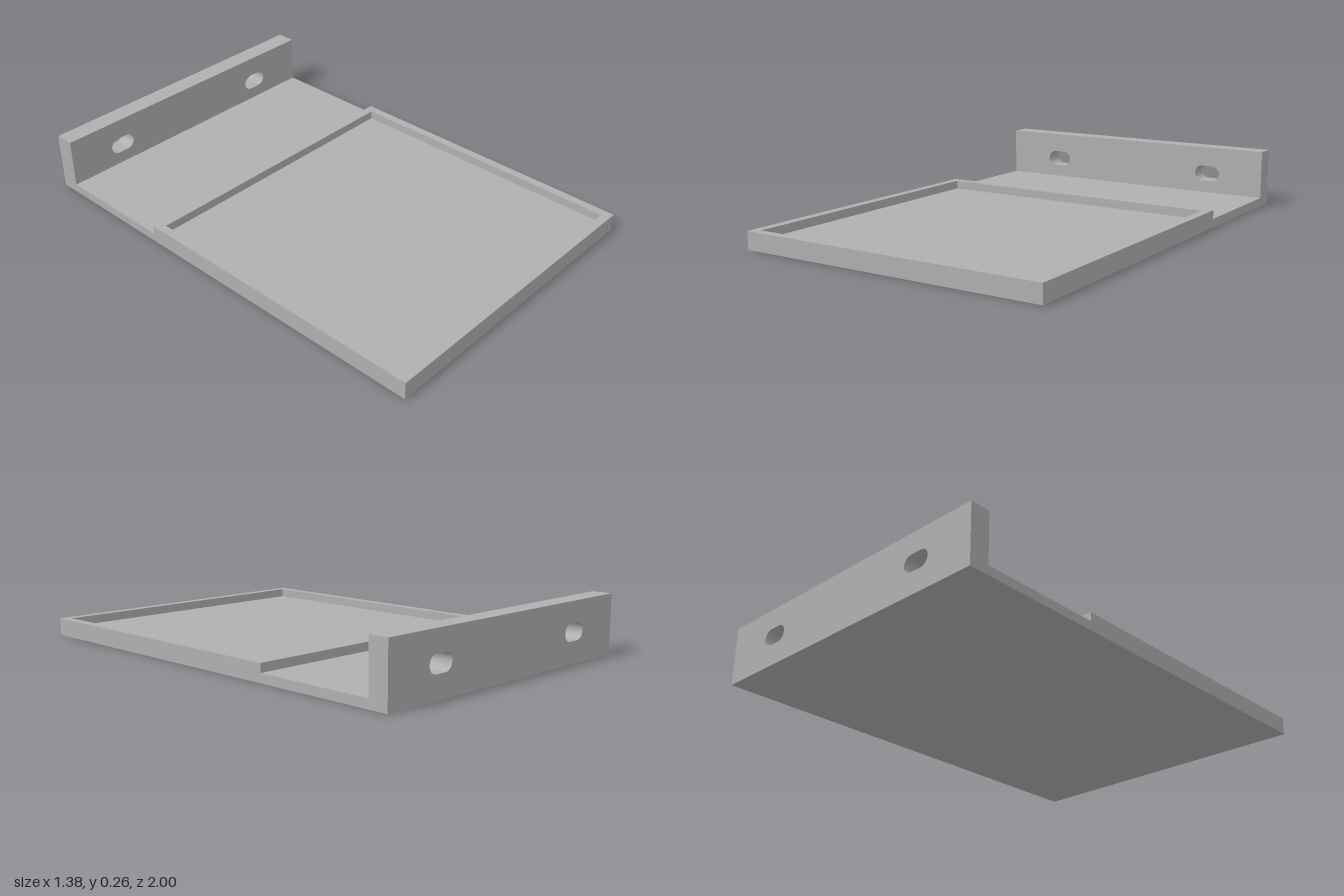
import * as THREE from 'three';

const HALF_W = 0.692;   // half width of the tray
const FLOOR = 0.039;    // floor thickness
const RIM_TOP = 0.077;
const WALL_TOP = 0.258;
const WALL_FRONT = -0.913;

function rectangle(target, x0, y0, x1, y1) {
  target.moveTo(x0, y0);
  target.lineTo(x1, y0);
  target.lineTo(x1, y1);
  target.lineTo(x0, y1);
  target.closePath();
  return target;
}

// Horizontal slot with rounded ends
function slot(cx, cy, length, height) {
  const r = height / 2, d = length / 2 - r;
  const path = new THREE.Path();
  path.absarc(cx + d, cy, r, -Math.PI / 2, Math.PI / 2, false);
  path.absarc(cx - d, cy, r, Math.PI / 2, Math.PI * 1.5, false);
  path.closePath();
  return path;
}

export function createModel() {
  const grey = new THREE.MeshStandardMaterial({ color: 0xb0b0b0 });
  grey.name = 'grey';
  const model = new THREE.Group();
  model.name = 'trayBracket';

  function add(name, geometry) {
    const mesh = new THREE.Mesh(geometry, grey);
    mesh.name = name;
    model.add(mesh);
    return mesh;
  }

  // Floor plate, meeting the wall at the back
  const length = 1 - WALL_FRONT;
  add('floor', new THREE.BoxGeometry(HALF_W * 2, FLOOR, length))
    .position.set(0, FLOOR / 2, 1 - length / 2);

  // Raised rim around the front recess
  const rim = rectangle(new THREE.Shape(), -HALF_W, -1, HALF_W, 0.37);
  rim.holes.push(rectangle(new THREE.Path(), -0.654, -0.962, 0.654, 0.332));
  const rimGeometry = new THREE.ExtrudeGeometry(rim, { depth: RIM_TOP - FLOOR, bevelEnabled: false });
  rimGeometry.rotateX(-Math.PI / 2);
  add('rim', rimGeometry).position.y = FLOOR;

  // Upright back wall with two mounting slots
  const wall = rectangle(new THREE.Shape(), -HALF_W, 0, HALF_W, WALL_TOP);
  for (const side of [-1, 1]) wall.holes.push(slot(side * 0.417, 0.131, 0.124, 0.073));
  add('backWall', new THREE.ExtrudeGeometry(wall, {
    depth: 1 + WALL_FRONT, bevelEnabled: false, curveSegments: 16,
  })).position.z = -1;

  return model;
}
